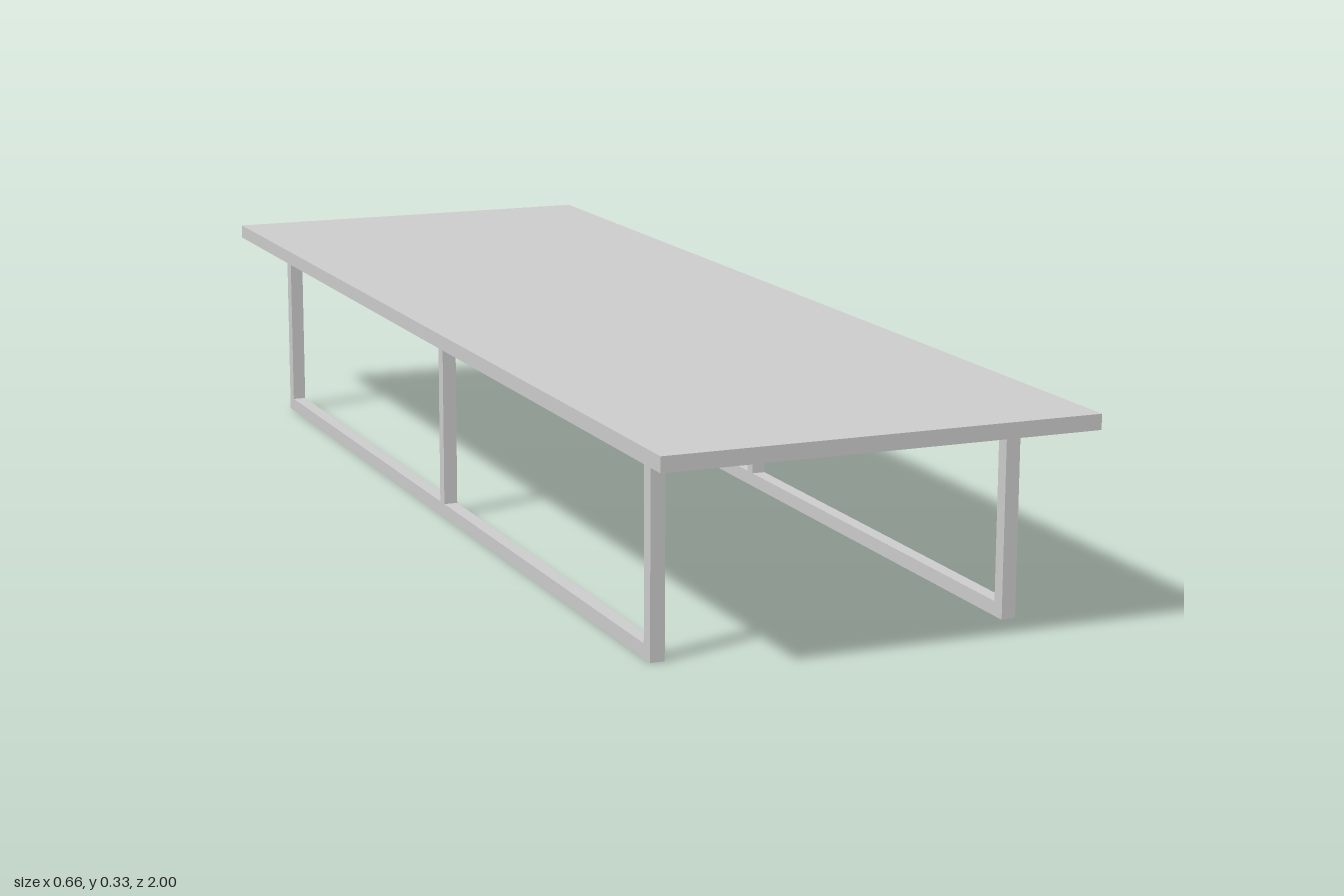
import * as THREE from 'three';

const material = new THREE.MeshStandardMaterial({ color: 0xcccccc });

function box(name, w, h, d, x, y, z) {
  const mesh = new THREE.Mesh(new THREE.BoxGeometry(w, h, d), material);
  mesh.name = name;
  mesh.position.set(x, y, z);
  return mesh;
}

export function createModel() {
  const model = new THREE.Group();
  model.name = 'lowTable';

  const width = 0.662, height = 0.327, topThickness = 0.023;
  const bar = 0.022;                       // square bar section
  const underside = height - topThickness;
  const frameX = 0.274, frameHalf = 0.859; // frame centre line, half length

  // Table top
  model.add(box('tableTop', width, topThickness, 2, 0, height - topThickness / 2, 0));

  // Two side frames: a floor rail with three posts each
  for (const side of [1, -1]) {
    const frame = new THREE.Group();
    frame.name = side > 0 ? 'leftFrame' : 'rightFrame';
    frame.position.x = side * frameX;

    frame.add(box('floorRail', bar, bar, frameHalf * 2, 0, bar / 2, 0));

    const postHeight = underside - bar;
    const postY = bar + postHeight / 2;
    const endZ = frameHalf - bar / 2;
    frame.add(box('frontPost', bar, postHeight, bar, 0, postY, endZ));
    frame.add(box('middlePost', bar, postHeight, 0.02, 0, postY, 0));
    frame.add(box('backPost', bar, postHeight, bar, 0, postY, -endZ));

    model.add(frame);
  }
  return model;
}
